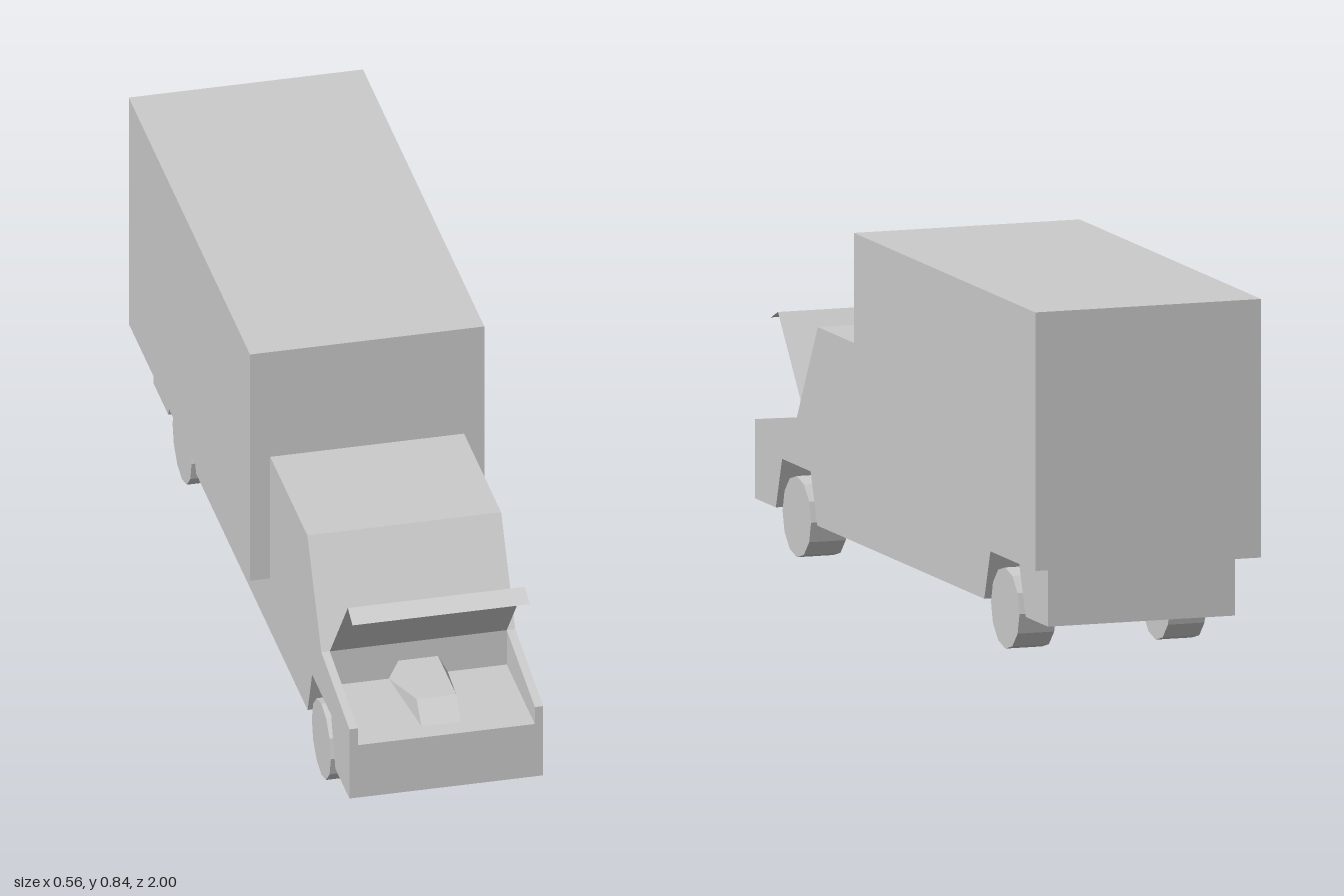
import * as THREE from 'three';
import { ConvexGeometry } from 'three/addons/geometries/ConvexGeometry.js';

const grey = new THREE.MeshStandardMaterial({ color: 0xcccccc, flatShading: true });
const greyThin = new THREE.MeshStandardMaterial({ color: 0xcccccc, flatShading: true, side: THREE.DoubleSide });

const FLOOR = 0.095;   // underside of the body
const DECK = 0.235;    // top of the lower body, engine bay floor
const HALF = 0.23;     // half width of cab and chassis
const INNER = 0.14;    // inner face of wheels and arches
const BAY = 0.21;      // half width of the engine bay
const AXLES = [0.72, -0.67];

// Extrude a side profile of [z, y] points across the width from x0 to x1
function sideExtrude(points, x0, x1) {
  const shape = new THREE.Shape(points.map(([z, y]) => new THREE.Vector2(z, y)));
  return new THREE.ExtrudeGeometry(shape, { depth: x1 - x0, bevelEnabled: false })
    .rotateY(-Math.PI / 2)
    .translate(x1, 0, 0);
}

export function createModel() {
  const model = new THREE.Group();
  const add = (name, geometry, material = grey) => {
    const mesh = new THREE.Mesh(geometry, material);
    mesh.name = name;
    model.add(mesh);
    return mesh;
  };

  // Cargo box
  add('cargoBox', new THREE.BoxGeometry(0.556, 0.605, 1.21).translate(0, 0.5375, -0.395));

  // Chassis between the wheels
  add('chassis', sideExtrude([[-0.955, FLOOR], [1, FLOOR], [1, DECK], [-0.955, DECK]], -INNER, INNER));

  // Outer body sides with trapezoid wheel arches
  const sill = [[1, DECK], [1, FLOOR]];
  for (const z of AXLES) {
    sill.push([z + 0.14, FLOOR], [z + 0.098, 0.215], [z - 0.092, 0.215], [z - 0.137, FLOOR]);
  }
  sill.push([-0.955, FLOOR], [-0.955, DECK]);

  // Rails beside the open engine bay
  const rail = [[0.72, DECK], [1, DECK], [1, 0.28], [0.72, 0.327]];

  for (const [side, s] of [['left', 1], ['right', -1]]) {
    const span = (a, b) => (s > 0 ? [a, b] : [-b, -a]);
    add(side + 'BodySide', sideExtrude(sill, ...span(INNER, HALF)));
    add(side + 'BayRail', sideExtrude(rail, ...span(BAY, HALF)));
    AXLES.forEach((z, i) => {
      const wheel = new THREE.CylinderGeometry(0.095, 0.095, HALF - INNER, 12).rotateZ(Math.PI / 2);
      add(side + (i ? 'RearWheel' : 'FrontWheel'), wheel)
        .position.set(s * (HALF + INNER) / 2, 0.095, z);
    });
  }

  // Cab with sloped windscreen
  add('cab', sideExtrude([[0.2, DECK], [0.72, DECK], [0.72, 0.327], [0.58, 0.56], [0.2, 0.56]], -HALF, HALF));

  // Engine block: sloped front, sides flaring towards the firewall
  const corners = [];
  for (const s of [-1, 1]) {
    corners.push(
      new THREE.Vector3(s * 0.047, 0.28, 0.72), new THREE.Vector3(s * 0.047, 0.28, 0.9),
      new THREE.Vector3(s * 0.047, DECK, 0.95), new THREE.Vector3(s * 0.07, DECK, 0.72));
  }
  add('engine', new ConvexGeometry(corners));

  // Raised bonnet: thin sheet with a bent front lip
  const bonnet = new THREE.PlaneGeometry(2 * BAY, 1, 1, 2);
  const fold = [[0.545 - 0.02, 0.947], [0.545, 0.9], [0.327, 0.72]];
  const pos = bonnet.attributes.position;
  for (let i = 0; i < pos.count; i++) {
    const [y, z] = fold[Math.floor(i / 2)];
    pos.setXYZ(i, pos.getX(i), y, z);
  }
  bonnet.computeVertexNormals();
  add('bonnet', bonnet, greyThin);

  return model;
}
